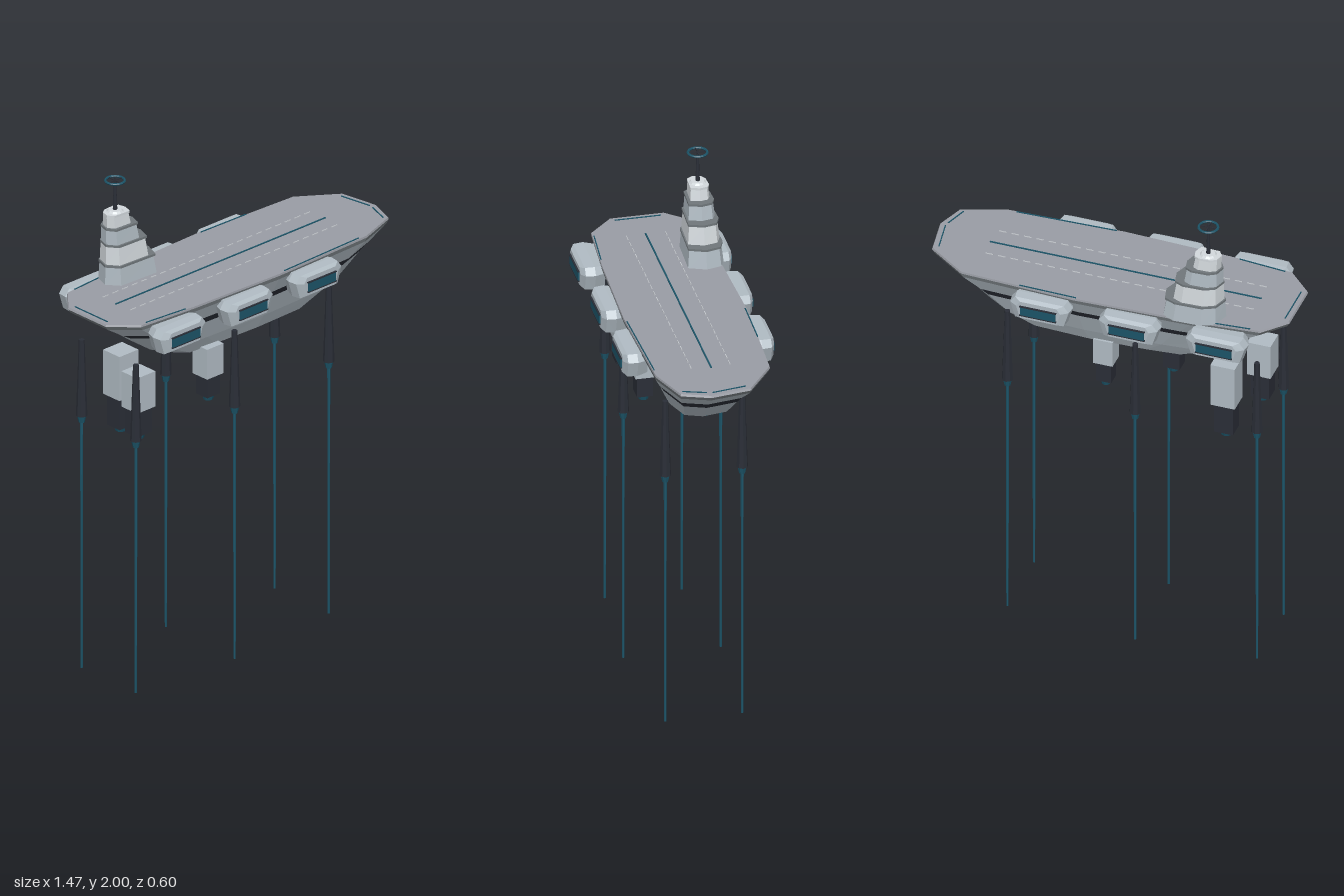
import * as THREE from 'three';

const paint = (color) => new THREE.MeshStandardMaterial({ color, flatShading: true });
const MAT = {
  hull: paint(0xb0bbc3), rim: paint(0x70777b), deck: paint(0x999ca4), dark: paint(0x2a2e37),
  teal: paint(0x1c5468), stripe: paint(0xc4c8cd), pale: paint(0xd2d8dc),
};

// Skin through rings of [x, y, z] given bottom to top, each ring running from +x towards +z.
function loft(rings, capBottom = true, capTop = true) {
  const pos = [];
  const tri = (...p) => p.forEach((v) => pos.push(...v));
  const n = rings[0].length;
  for (let r = 0; r < rings.length - 1; r++) {
    const a = rings[r], b = rings[r + 1];
    for (let i = 0; i < n; i++) {
      const j = (i + 1) % n;
      tri(a[i], b[i], a[j]);
      tri(a[j], b[i], b[j]);
    }
  }
  const cap = (ring, up) => {
    const c = [0, 1, 2].map((k) => ring.reduce((s, p) => s + p[k], 0) / n);
    ring.forEach((p, i) => {
      const q = ring[(i + 1) % n];
      if (up) tri(c, q, p); else tri(c, p, q);
    });
  };
  if (capBottom) cap(rings[0], false);
  if (capTop) cap(rings[rings.length - 1], true);
  const g = new THREE.BufferGeometry();
  g.setAttribute('position', new THREE.Float32BufferAttribute(pos, 3));
  g.computeVertexNormals();
  return g;
}

const ring = (outline, y, sx = 1, sz = sx, cx = 0, cz = 0) =>
  outline.map(([x, z]) => [cx + x * sx, y, cz + z * sz]);

function add(parent, name, geometry, material, x = 0, y = 0, z = 0) {
  const m = new THREE.Mesh(geometry, material);
  m.name = name;
  m.position.set(x, y, z);
  parent.add(m);
  return m;
}

const cyl = (top, bottom, h, sides = 8) => new THREE.CylinderGeometry(top, bottom, h, sides);

// Thin painted strip on the deck between two points
function deckLine(parent, name, [x0, z0], [x1, z1], width, material) {
  const m = add(parent, name, new THREE.BoxGeometry(Math.hypot(x1 - x0, z1 - z0), 0.003, width),
    material, (x0 + x1) / 2, 1.5755, (z0 + z1) / 2);
  m.rotation.y = -Math.atan2(z1 - z0, x1 - x0);
}

const DECK = [
  [0.73, 0.05], [0.69, 0.16], [0.52, 0.22], [0.05, 0.235], [-0.38, 0.22], [-0.64, 0.2], [-0.735, 0.105],
  [-0.735, -0.105], [-0.65, -0.2], [-0.38, -0.225], [0.09, -0.24], [0.55, -0.22], [0.705, -0.11],
];

function buildHull(root) {
  const hull = new THREE.Group();
  hull.name = 'hull';
  root.add(hull);
  const keel = ring(DECK, 1.305, 0.485, 0.47, 0.025);
  const bilge = ring(DECK, 1.365, 0.66, 0.6, 0.022);
  const bandLow = ring(DECK, 1.455, 0.805, 0.76, 0.015);
  const bandHigh = ring(DECK, 1.488, 0.865, 0.85, 0.005);
  const knuckle = ring(DECK, 1.55, 0.985);
  const edge = ring(DECK, 1.566);
  const top = ring(DECK, 1.574, 0.995);
  add(hull, 'lowerHull', loft([keel, bilge, bandLow], true, false), MAT.hull);
  add(hull, 'darkBand', loft([bandLow, bandHigh], false, false), MAT.dark);
  add(hull, 'upperHull', loft([bandHigh, knuckle], false, false), MAT.hull);
  add(hull, 'deckRim', loft([knuckle, edge], false, false), MAT.rim);
  add(hull, 'deck', loft([edge, top], false, true), MAT.deck);

  // Runway markings
  deckLine(hull, 'centreLine', [-0.585, 0], [0.51, 0], 0.006, MAT.teal);
  for (const z of [-0.076, 0.076])
    for (let i = 0; i < 22; i++) {
      const x = -0.58 + i * 0.05;
      deckLine(hull, 'runwayDash', [x, z], [x + 0.03, z], 0.003, MAT.stripe);
    }
  // Edge lights
  for (const [a, b] of [
    [[-0.61, 0.195], [-0.42, 0.212]], [[0.08, 0.228], [0.48, 0.215]],
    [[-0.61, -0.2], [-0.42, -0.215]], [[0.08, -0.233], [0.31, -0.228]],
    [[-0.712, -0.09], [-0.712, 0.09]], [[0.682, -0.095], [0.704, 0.04]], [[0.7, 0.06], [0.67, 0.15]],
  ]) deckLine(hull, 'edgeLight', a, b, 0.004, MAT.teal);
}

// Side pod, lofted outward along +z
function buildPod(x, side) {
  const pod = new THREE.Group();
  pod.name = 'sidePod';
  const outline = [[0.123, -0.02], [0.102, 0.048], [-0.102, 0.048], [-0.123, -0.02], [-0.102, -0.048], [0.102, -0.048]];
  const inner = ring(outline, 0.2, 0.86, 0.9);
  const wide = ring(outline, 0.242);
  const shoulder = ring(outline, 0.28, 0.96, 0.97);
  const face = ring(outline, 0.295, 0.72, 0.78);
  add(pod, 'podBody', loft([inner, wide, shoulder, face]), MAT.hull).rotation.x = Math.PI / 2;
  add(pod, 'podWindow', new THREE.BoxGeometry(0.142, 0.038, 0.01), MAT.teal, 0, -0.002, 0.296);
  for (const s of [-1, 1])
    add(pod, 'windowFrame', new THREE.BoxGeometry(0.148, 0.004, 0.012), MAT.dark, 0, -0.002 + s * 0.02, 0.296);
  pod.position.set(x, 1.512, 0);
  if (side < 0) pod.rotation.y = Math.PI;
  return pod;
}

function buildTower(root) {
  const tower = new THREE.Group();
  tower.name = 'commandTower';
  root.add(tower);
  // Unit plan, blunt on the left side and pointed on the right
  const plan = [[1, 0.05], [0.78, 0.95], [-0.68, 0.85], [-1, 0.2], [-0.82, -0.62], [-0.4, -0.95], [0.5, -1], [0.88, -0.75]];
  // y0, y1, xMin, xMax, half depth
  const tiers = [
    [1.57, 1.646, -0.497, -0.253, 0.075], [1.656, 1.73, -0.49, -0.295, 0.066],
    [1.738, 1.797, -0.487, -0.338, 0.055], [1.806, 1.85, -0.48, -0.373, 0.04],
  ];
  tiers.forEach(([y0, y1, x0, x1, d], i) => {
    const w = (x1 - x0) / 2, cx = (x0 + x1) / 2;
    add(tower, 'tier', loft([ring(plan, y0, w, d, cx, -0.166), ring(plan, y1, w * 0.93, d * 0.9, cx - 0.005, -0.166)]),
      i % 2 ? MAT.pale : MAT.hull);
    const slab = [y1, y1 + 0.009].map((y) => ring(plan, y, w * 0.97, d * 0.97, cx - 0.003, -0.166));
    add(tower, 'tierSlab', loft(slab), i < 3 ? MAT.rim : MAT.pale);
  });
  // Mast with ring antenna
  const [mx, mz] = [-0.43, -0.167];
  add(tower, 'mastBase', cyl(0.026, 0.034, 0.008, 12), MAT.pale, mx, 1.862, mz);
  add(tower, 'mast', cyl(0.004, 0.009, 0.14), MAT.dark, mx, 1.93, mz);
  add(tower, 'antennaRing', new THREE.TorusGeometry(0.037, 0.005, 6, 20), MAT.teal, mx, 1.987, mz).rotation.x = Math.PI / 2;
  for (const r of [0, Math.PI / 2])
    add(tower, 'antennaSpoke', new THREE.BoxGeometry(0.074, 0.004, 0.004), MAT.dark, mx, 1.987, mz).rotation.y = r;
}

function buildLeg(x, z) {
  const leg = new THREE.Group();
  leg.name = 'probeLeg';
  add(leg, 'legHousing', cyl(0.011, 0.022, 0.32), MAT.dark, 0, 1.225, 0);
  add(leg, 'legCollar', cyl(0.018, 0.012, 0.028), MAT.teal, 0, 1.051, 0);
  add(leg, 'legRod', cyl(0.006, 0.0045, 1.04, 6), MAT.teal, 0, 0.52, 0);
  leg.position.set(x, 0, z);
  return leg;
}

// Hanging engine block: box, dark lower section, teal nozzle
function buildEngine(x, z, w, top, mid, low) {
  const engine = new THREE.Group();
  engine.name = 'hangingEngine';
  add(engine, 'engineBlock', new THREE.BoxGeometry(w, top - mid, w * 0.93), MAT.hull, 0, (top + mid) / 2, 0);
  add(engine, 'engineCore', new THREE.BoxGeometry(w * 0.78, mid - low, w * 0.72), MAT.dark, 0, (mid + low) / 2, 0);
  add(engine, 'engineNozzle', cyl(w * 0.3, w * 0.22, 0.022, 10), MAT.teal, 0, low - 0.011, 0);
  engine.position.set(x, 0, z);
  return engine;
}

export function createModel() {
  const root = new THREE.Group();
  root.name = 'hoveringCarrier';
  buildHull(root);
  buildTower(root);
  for (const side of [1, -1]) {
    for (const x of [-0.497, -0.146, 0.211]) root.add(buildPod(x, side));
    for (const [x, z] of [[-0.62, 0.15], [-0.143, 0.19], [0.386, 0.15]]) root.add(buildLeg(x, side * z));
  }
  for (const spec of [
    [-0.555, 0.095, 0.095, 1.316, 1.167, 1.06], [-0.475, -0.088, 0.098, 1.316, 1.13, 1.0],
    [-0.196, 0.1, 0.086, 1.316, 1.19, 1.105], [0.01, -0.09, 0.078, 1.316, 1.205, 1.12],
  ]) root.add(buildEngine(...spec));
  return root;
}
